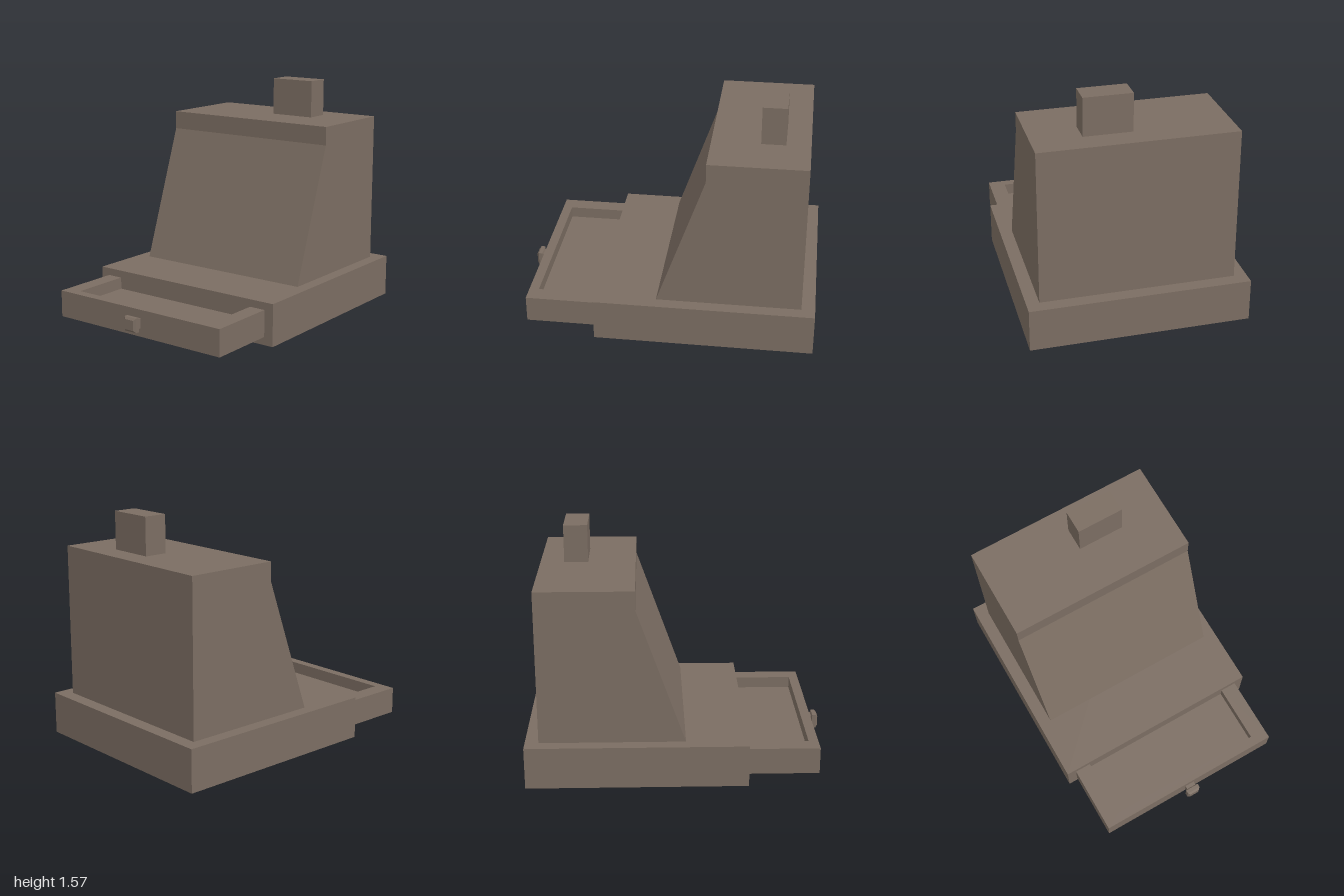
import * as THREE from 'three';

export function createModel() {
  const model = new THREE.Group();
  const brown = new THREE.MeshStandardMaterial({ color: 0x7b6d62 });
  brown.name = 'warm brown';

  const add = (name, geometry, x = 0, y = 0, z = 0) => {
    const mesh = new THREE.Mesh(geometry, brown);
    mesh.name = name;
    mesh.position.set(x, y, z);
    model.add(mesh);
    return mesh;
  };
  // Box given by its lower and upper corners
  const block = (name, [x0, y0, z0], [x1, y1, z1]) =>
    add(name, new THREE.BoxGeometry(x1 - x0, y1 - y0, z1 - z0),
      (x0 + x1) / 2, (y0 + y1) / 2, (z0 + z1) / 2);
  const outline = (points) => new THREE.Shape(points.map(([a, b]) => new THREE.Vector2(a, b)));

  block('base', [-0.73, 0, -1], [0.73, 0.285, 0.46]);

  // Body: side profile (z, y) extruded across the width
  const profile = outline([[-0.91, 0.285], [0.05, 0.285], [-0.27, 1.19], [-0.27, 1.315], [-0.91, 1.315]]);
  const body = new THREE.ExtrudeGeometry(profile, { depth: 1.29, bevelEnabled: false });
  body.translate(0, 0, -0.645).rotateY(-Math.PI / 2);
  add('body', body);

  block('chimney', [0, 1.315, -0.75], [0.32, 1.57, -0.59]);

  // Drawer: floor slab with a U-shaped rim around the tray
  block('drawerFloor', [-0.665, 0.055, 0.46], [0.665, 0.155, 0.93]);
  const rimShape = outline([
    [-0.665, -0.46], [-0.665, -0.93], [0.665, -0.93], [0.665, -0.46],
    [0.553, -0.46], [0.553, -0.865], [-0.553, -0.865], [-0.553, -0.46],
  ]);
  const rim = new THREE.ExtrudeGeometry(rimShape, { depth: 0.08, bevelEnabled: false });
  add('drawerRim', rim.rotateX(-Math.PI / 2), 0, 0.155, 0);

  // Square knob: four-sided turned profile of half-width against depth
  const knobProfile = [[0.034, 0], [0.034, 0.025], [0.048, 0.032], [0.048, 0.057], [0.034, 0.07], [0, 0.07]]
    .map(([r, h]) => new THREE.Vector2(r * Math.SQRT2, h));
  const knob = new THREE.LatheGeometry(knobProfile, 4, Math.PI / 4).rotateX(Math.PI / 2).toNonIndexed();
  knob.computeVertexNormals();
  add('drawerKnob', knob, 0, 0.145, 0.93);

  return model;
}
